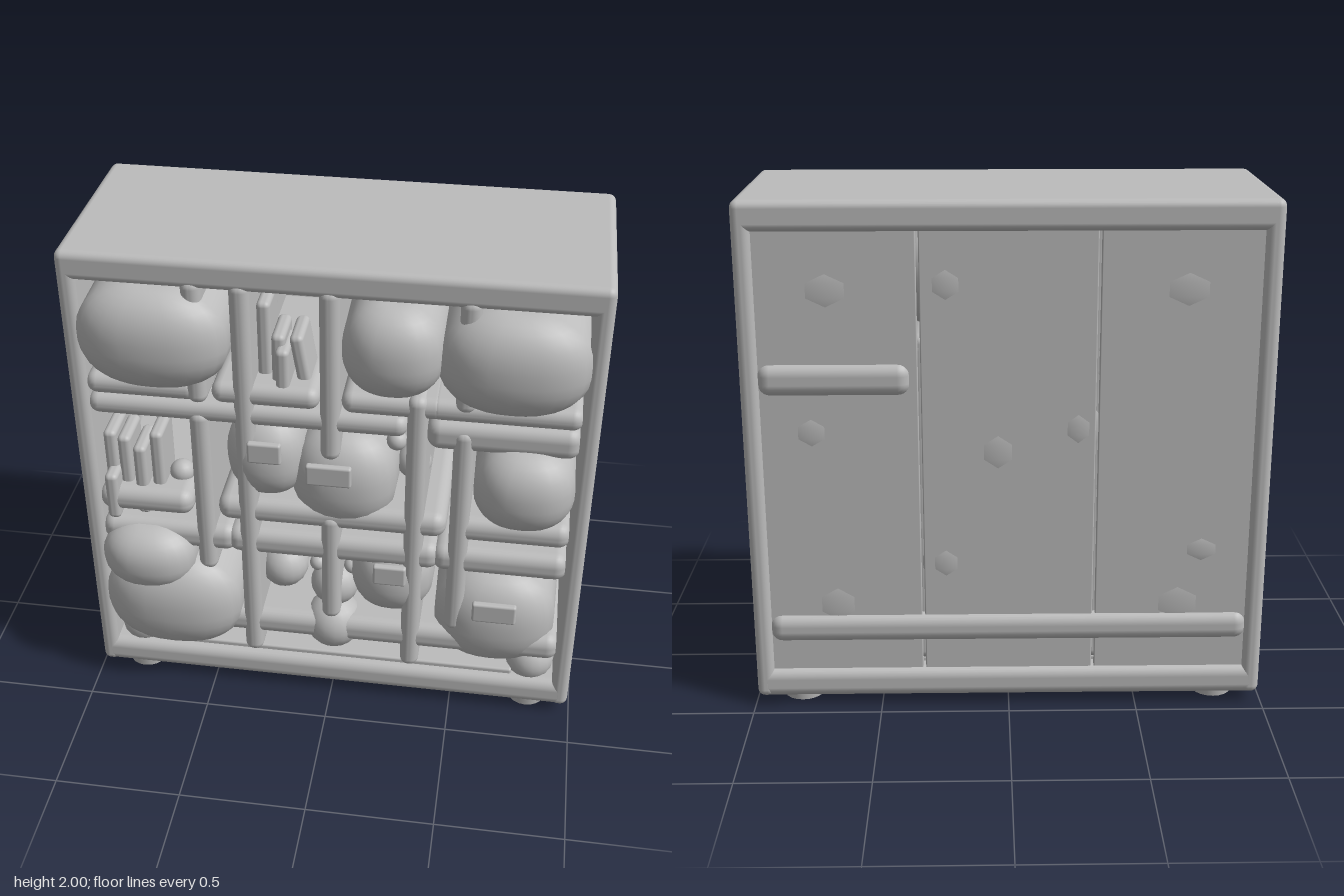
import * as THREE from 'three';
import { RoundedBoxGeometry } from 'three/addons/geometries/RoundedBoxGeometry.js';

export function createModel() {
  const root = new THREE.Group();
  root.name = 'displayShelf';
  const grey = new THREE.MeshStandardMaterial({ color: 0xbcbcbc });
  grey.name = 'plainGrey';

  const add = (name, geo, x, y, z, rz = 0) => {
    const m = new THREE.Mesh(geo, grey);
    m.name = name;
    m.position.set(x, y, z);
    m.rotation.z = rz;
    root.add(m);
    return m;
  };
  // Rounded box given by its extents
  const slab = (name, x0, x1, y0, y1, z0, z1, r) => {
    const w = x1 - x0, h = y1 - y0, d = z1 - z0;
    const radius = Math.min(r, Math.min(w, h, d) * 0.48);
    return add(name, new RoundedBoxGeometry(w, h, d, 3, radius),
      (x0 + x1) / 2, (y0 + y1) / 2, (z0 + z1) / 2);
  };

  // Outer case
  slab('topBoard', -0.99, 0.99, 1.885, 2, -0.45, 0.34, 0.03);
  slab('baseBoard', -0.99, 0.99, 0.035, 0.16, -0.45, 0.34, 0.045);
  for (const s of [-1, 1]) {
    slab('sideBoard', s * 0.955 - 0.035, s * 0.955 + 0.035, 0.04, 2, -0.45, 0.34, 0.03);
    for (const z of [0.23, -0.315])
      add('foot', new THREE.CylinderGeometry(0.085, 0.08, 0.05, 20), s * 0.82, 0.025, z);
  }
  slab('plinth', -0.93, 0.93, 0.02, 0.06, -0.4, 0.3, 0.015);

  // Three back panels with narrow seams
  for (const [x0, x1] of [[-0.93, -0.335], [-0.325, 0.325], [0.335, 0.93]])
    slab('backPanel', x0, x1, 0.13, 1.91, -0.425, -0.40, 0.005);

  // Horizontal shelves: x0, x1, y0, y1, back z
  const shelves = [
    [-0.93, -0.5, 1.4, 1.49], [-0.45, -0.04, 1.4, 1.49], [0.04, 0.43, 1.4, 1.49],
    [0.36, 0.93, 1.4, 1.49], [-0.93, -0.16, 1.31, 1.4], [-0.3, 0.29, 1.31, 1.4],
    [0.36, 0.93, 1.27, 1.4, -0.45],
    [-0.93, -0.55, 0.85, 0.96], [-0.45, 0.45, 0.85, 0.96], [0.48, 0.93, 0.85, 0.96],
    [-0.93, -0.38, 0.69, 0.81], [-0.42, 0.43, 0.69, 0.81], [0.4, 0.93, 0.69, 0.81],
    [-0.93, 0.93, 0.27, 0.39, -0.45],
  ];
  for (const [x0, x1, y0, y1, zb = -0.41] of shelves)
    slab('shelf', x0, x1, y0, y1, zb, 0.335, 0.05);

  // Upright dividers: x, y0, y1
  const dividers = [
    [-0.5, 1.4, 1.92], [-0.5, 0.6, 1.36], [-0.325, 0.18, 1.92],
    [0, 1.19, 1.92], [0, 0.4, 0.92], [0.325, 0.18, 1.5],
    [0.5, 0.4, 1.37], [0.5, 1.45, 1.92],
  ];
  for (const [x, y0, y1] of dividers)
    slab('divider', x - 0.038, x + 0.038, y0, y1, -0.41, 0.345, 0.035);

  // Soft bundle: a sphere with squared outline, stretched through the depth
  const bundle = (name, x, y, rx, ry, front, back = -0.43) => {
    const geo = new THREE.SphereGeometry(1, 24, 17);
    const p = geo.attributes.position;
    const soft = v => Math.sign(v) * Math.abs(v) ** 0.85;
    const cap = Math.min(0.16, rx, ry, (front - back) / 2);
    const mid = (front + back) / 2, straight = (front - back) / 2 - cap;
    for (let i = 0; i < p.count; i++) {
      const z = p.getZ(i);
      const side = Math.abs(z) < 1e-4 ? 0 : Math.sign(z);
      p.setXYZ(i, soft(p.getX(i)) * rx, soft(p.getY(i)) * ry, z * cap + side * straight);
    }
    geo.computeVertexNormals();
    add(name, geo, x, y, mid);
  };
  const bundles = [
    [-0.655, 1.67, 0.29, 0.21, 0.45], [0.23, 1.69, 0.19, 0.19, 0.45],
    [0.665, 1.67, 0.28, 0.21, 0.45], [-0.26, 1.14, 0.16, 0.19, 0.36],
    [0.04, 1.05, 0.21, 0.22, 0.36], [0.735, 1.13, 0.195, 0.18, 0.45],
    [-0.74, 0.65, 0.195, 0.145, 0.45], [-0.655, 0.425, 0.29, 0.23, 0.45],
    [0.24, 0.6, 0.17, 0.18, 0.36], [0.66, 0.43, 0.25, 0.23, 0.37],
  ];
  for (const b of bundles) bundle('bundle', ...b);

  // Small round objects: x, y, z, radius
  const trinkets = [
    [-0.22, 0.52, 0.15, 0.1], [-0.2, 0.68, 0.15, 0.065], [-0.17, 0.8, 0.15, 0.04],
    [0, 0.32, 0.24, 0.12], [0, 0.49, 0.2, 0.1], [-0.07, 0.58, 0.2, 0.035],
    [0.07, 0.58, 0.2, 0.035], [0.24, 1.22, 0.2, 0.04], [0.22, 1.29, 0.1, 0.06],
    [0.3, 1.06, 0.1, 0.07], [-0.62, 0.97, 0.18, 0.05], [-0.82, 0.2, 0.22, 0.1],
    [0.82, 0.2, 0.22, 0.1], [0.84, 0.62, 0.15, 0.05], [0.66, 0.9, 0.2, 0.09],
  ];
  for (const [x, y, z, r] of trinkets)
    add('trinket', new THREE.SphereGeometry(r, 18, 12), x, y, z);

  // Upright books: x, y0, y1, z, tilt
  const books = [
    [-0.88, 0.82, 1.19, 0.18], [-0.825, 0.82, 1.17, 0.18], [-0.76, 0.82, 1.14, 0.2],
    [-0.695, 0.82, 1.2, 0.18], [-0.87, 0.82, 1.03, 0.25], [-0.26, 1.45, 1.79, 0.14],
    [-0.2, 1.45, 1.68, 0.18], [-0.12, 1.44, 1.67, 0.16, 0.16], [-0.18, 1.45, 1.64, 0.22],
    [0.1, 1.45, 1.68, 0.1], [0.16, 1.45, 1.64, 0.1],
  ];
  for (const [x, y0, y1, z, tilt = 0] of books)
    slab('book', x - 0.026, x + 0.026, y0, y1, z - 0.09, z + 0.09, 0.02).rotation.z = tilt;

  // Blank tags on the bundles: x, y, width
  for (const [x, y, w] of [[-0.245, 1.225, 0.13], [0, 1.145, 0.175], [0.24, 0.685, 0.13], [0.66, 0.54, 0.175]])
    slab('tag', x - w / 2, x + w / 2, y - 0.045, y + 0.045, 0.35, 0.38, 0.01);

  // Low mat at the bottom of the compartments
  slab('floorMat', -0.75, 0.75, 0.15, 0.18, -0.38, 0.3, 0.01);
  return root;
}
